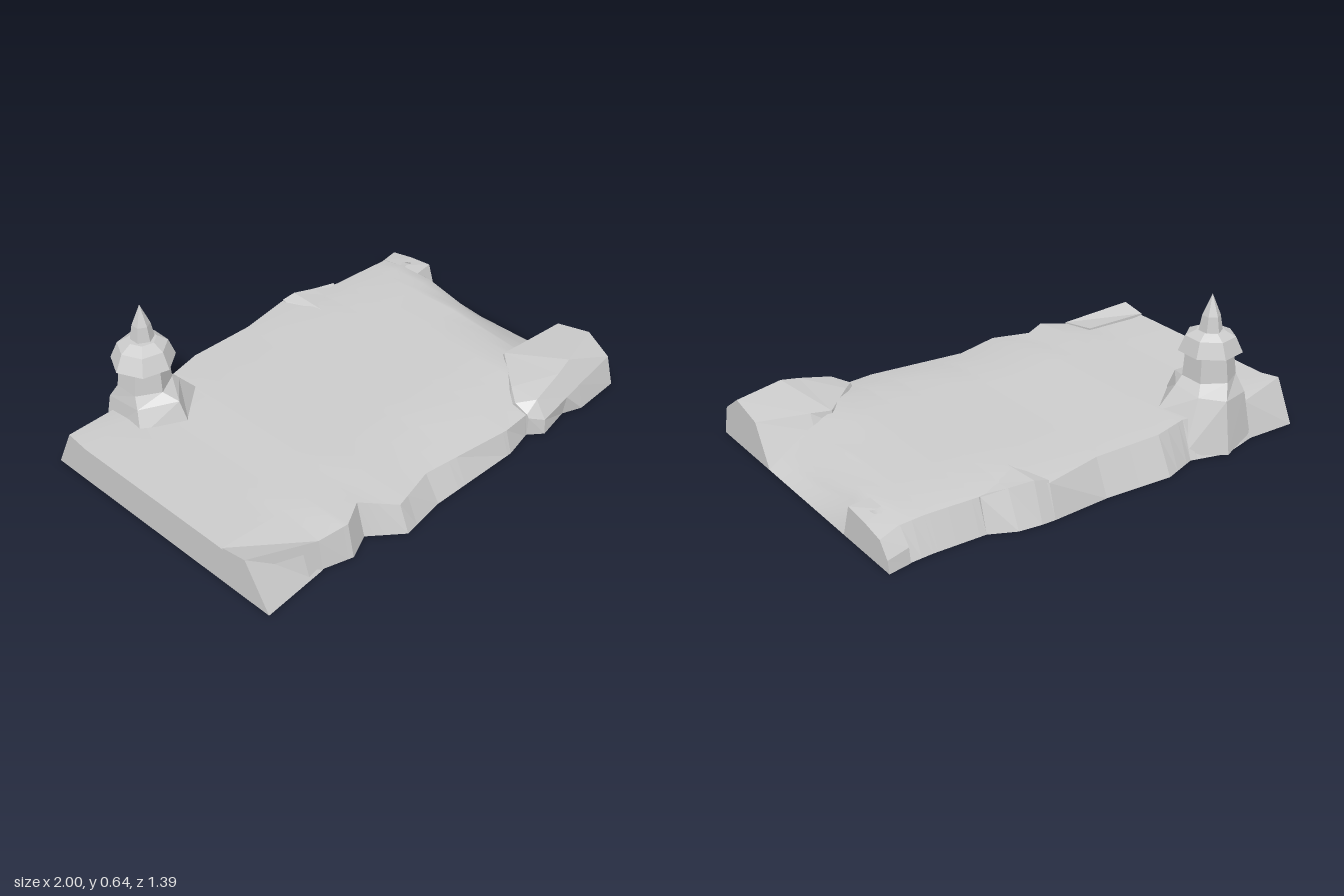
import * as THREE from 'three';

// Skin rows of points; faceted or smooth, optionally closing each row.
function loft(rows, { smooth = false, closed = false } = {}) {
  const n = rows[0].length, index = [];
  for (let i = 0; i < rows.length - 1; i++) {
    for (let j = 0; j < (closed ? n : n - 1); j++) {
      const k = (j + 1) % n, a = i * n + j, b = i * n + k, c = a + n, d = b + n;
      index.push(a, c, b, b, c, d);
    }
  }
  const geo = new THREE.BufferGeometry();
  geo.setAttribute('position', new THREE.Float32BufferAttribute(rows.flat(2), 3));
  geo.setIndex(index);
  const out = smooth ? geo : geo.toNonIndexed();
  out.computeVertexNormals();
  return out;
}

// Flat cap over a row of points lying in a plane x = constant.
function cap(row, flip) {
  const geo = new THREE.BufferGeometry(), pos = [];
  for (let i = 1; i < row.length - 1; i++) {
    pos.push(...row[0], ...(flip ? row[i + 1] : row[i]), ...(flip ? row[i] : row[i + 1]));
  }
  geo.setAttribute('position', new THREE.Float32BufferAttribute(pos, 3));
  geo.computeVertexNormals();
  return geo;
}

// Outline as [x, z at the foot, z at the rim, y at the rim].
const FRONT = [
  [-1, .62, .5, .165], [-.7, .59, .57, .13], [-.57, .63, .6, .15], [-.46, .58, .54, .15],
  [-.33, .69, .645, .12], [-.12, .66, .59, .115], [.32, .67, .64, .105], [.46, .64, .63, .1],
  [.78, .64, .6, .08], [.9, .64, .58, .04], [1, .64, .55, 0],
];
const BACK = [
  [-1, -.62, -.53, .185], [-.77, -.62, -.57, .15], [-.59, -.67, -.57, .15], [-.43, -.63, -.57, .16],
  [-.27, -.69, -.61, .155], [.04, -.68, -.61, .15], [.3, -.7, -.66, .14], [.45, -.69, -.61, .135],
  [.57, -.64, -.59, .135], [.8, -.64, -.58, .13], [.93, -.65, -.58, .12], [1, -.66, -.55, 0],
];
// Height of the ground between the rims.
const LEVEL = [[-1, .168], [-.7, .16], [-.4, .165], [0, .157], [.6, .152], [.7, .15], [.85, .145], [.95, .14], [1, .14]];

function sample(list, x) {
  let i = 0;
  while (i < list.length - 2 && x > list[i + 1][0]) i++;
  const t = (x - list[i][0]) / (list[i + 1][0] - list[i][0]);
  return list[i].map((v, k) => THREE.MathUtils.lerp(v, list[i + 1][k], t));
}

// The ground runs down to a beach at +x, from a shoulder that slants with z.
function groundHeight(x, z) {
  const shoulder = .8 - .33 * z;
  return Math.min(sample(LEVEL, x)[1], .15 * (1 - x) / (1 - shoulder));
}

function createGround(material) {
  const group = new THREE.Group();
  group.name = 'ground';
  const xs = [...new Set([...FRONT, ...BACK, ...LEVEL].map(p => p[0]))].sort((a, b) => a - b);
  const top = [], front = [], back = [];
  for (const x of xs) {
    const [, ff, fz, fy] = sample(FRONT, x), [, bf, bz, by] = sample(BACK, x);
    const row = [[x, fy, fz]];
    for (const t of [.17, .35, .55, .75, .9]) {
      const z = THREE.MathUtils.lerp(fz, bz, t);
      row.push([x, groundHeight(x, z), z]);
    }
    row.push([x, by, bz]);
    top.push(row);
    front.push([[x, 0, ff], [x, fy, fz]]);
    back.push([[x, by, bz], [x, 0, bf]]);
  }
  const side = [[-1, 0, FRONT[0][1]], ...top[0], [-1, 0, BACK[0][1]]];
  const parts = {
    groundTop: loft(top, { smooth: true }),
    frontBank: loft(front),
    backBank: loft(back),
    sideCliff: loft([side, side.map(([x, , z]) => [x, 0, z])]),
  };
  for (const [name, geo] of Object.entries(parts)) {
    const mesh = new THREE.Mesh(geo, material);
    mesh.name = name;
    group.add(mesh);
  }
  return group;
}

// Rock from cross-sections: [x, [z, y], [z, y], ...], with both ends capped.
function createRock(name, sections, material) {
  const group = new THREE.Group();
  group.name = name;
  const rows = sections.map(([x, ...pts]) => pts.map(([z, y]) => [x, y, z]));
  for (const geo of [loft(rows), cap(rows[0], true), cap(rows.at(-1), false)]) {
    group.add(new THREE.Mesh(geo, material));
  }
  return group;
}

function ring(sides, r, y, cx, cz, turn = 0) {
  return Array.from({ length: sides }, (_, i) => {
    const a = turn - i * Math.PI * 2 / sides;
    return [cx + r * Math.sin(a), y, cz + r * Math.cos(a)];
  });
}

function createTower(material) {
  const group = new THREE.Group();
  group.name = 'tower';
  const add = (name, rows) => {
    const mesh = new THREE.Mesh(loft(rows, { closed: true }), material);
    mesh.name = name;
    group.add(mesh);
  };
  // Flared stone foot, reaching the ground at the back
  const foot = [[-.59, .15, -.28], [-.77, .13, -.37], [-.77, .02, -.61], [-.59, 0, -.68], [-.41, .02, -.61], [-.41, .15, -.43]];
  const shoulder = [[-.6, .245, -.32], [-.745, .23, -.41], [-.745, .21, -.59], [-.6, .22, -.64], [-.5, .24, -.58], [-.5, .25, -.44]];
  const waist = ring(6, .112, .28, -.635, -.49);
  add('foot', [foot, shoulder, waist]);
  add('shaft', [waist, ring(6, .1, .4, -.63, -.49)]);
  add('roof', [
    ring(7, .08, .4, -.635, -.49, .2), ring(7, .135, .392, -.637, -.485, .2),
    ring(7, .105, .46, -.63, -.49, .2), ring(7, .06, .485, -.625, -.495, .2), ring(7, .001, .485, -.62, -.5, .2),
  ]);
  add('spire', [
    ring(6, .052, .475, -.62, -.5), ring(6, .038, .55, -.62, -.5), ring(6, .0005, .64, -.62, -.5),
  ]);
  return group;
}

export function createModel() {
  const model = new THREE.Group();
  const material = new THREE.MeshStandardMaterial({ color: 0xcccccc, side: THREE.DoubleSide });
  model.add(createGround(material), createTower(material));

  model.add(createRock('frontRightRock', [
    [-1, [.62, 0], [.5, .195], [.38, .175], [.38, .1]],
    [-.7, [.595, 0], [.575, .135], [.39, .166], [.39, .1]],
  ], material));

  model.add(createRock('frontLeftRock', [
    [.46, [.64, 0], [.645, .09], [.635, .105], [.57, .13], [.54, .1]],
    [.52, [.69, 0], [.685, .07], [.635, .15], [.5, .145], [.47, .1]],
    [.68, [.66, 0], [.675, .095], [.62, .19], [.33, .152], [.32, .1]],
    [.77, [.695, 0], [.67, .11], [.605, .21], [.345, .158], [.31, .09]],
    [1, [.685, 0], [.65, .13], [.54, .205], [.375, .17], [.27, 0]],
  ], material));

  model.add(createRock('backLeftRock', [
    [.9, [-.368, .1], [-.372, .14], [-.48, .14], [-.58, .125], [-.64, .06], [-.65, 0]],
    [1, [-.34, 0], [-.385, .14], [-.5, .13], [-.61, .11], [-.66, .05], [-.67, 0]],
  ], material));

  // Wedge of stone breaking the back edge
  model.add(createRock('backWedge', [
    [.3, [-.6, .13], [-.655, .15], [-.7, 0]],
    [.36, [-.43, .152], [-.645, .163], [-.7, 0]],
    [.46, [-.56, .145], [-.62, .15], [-.69, 0]],
    [.57, [-.57, .13], [-.6, .138], [-.64, 0]],
  ], material));
  return model;
}
